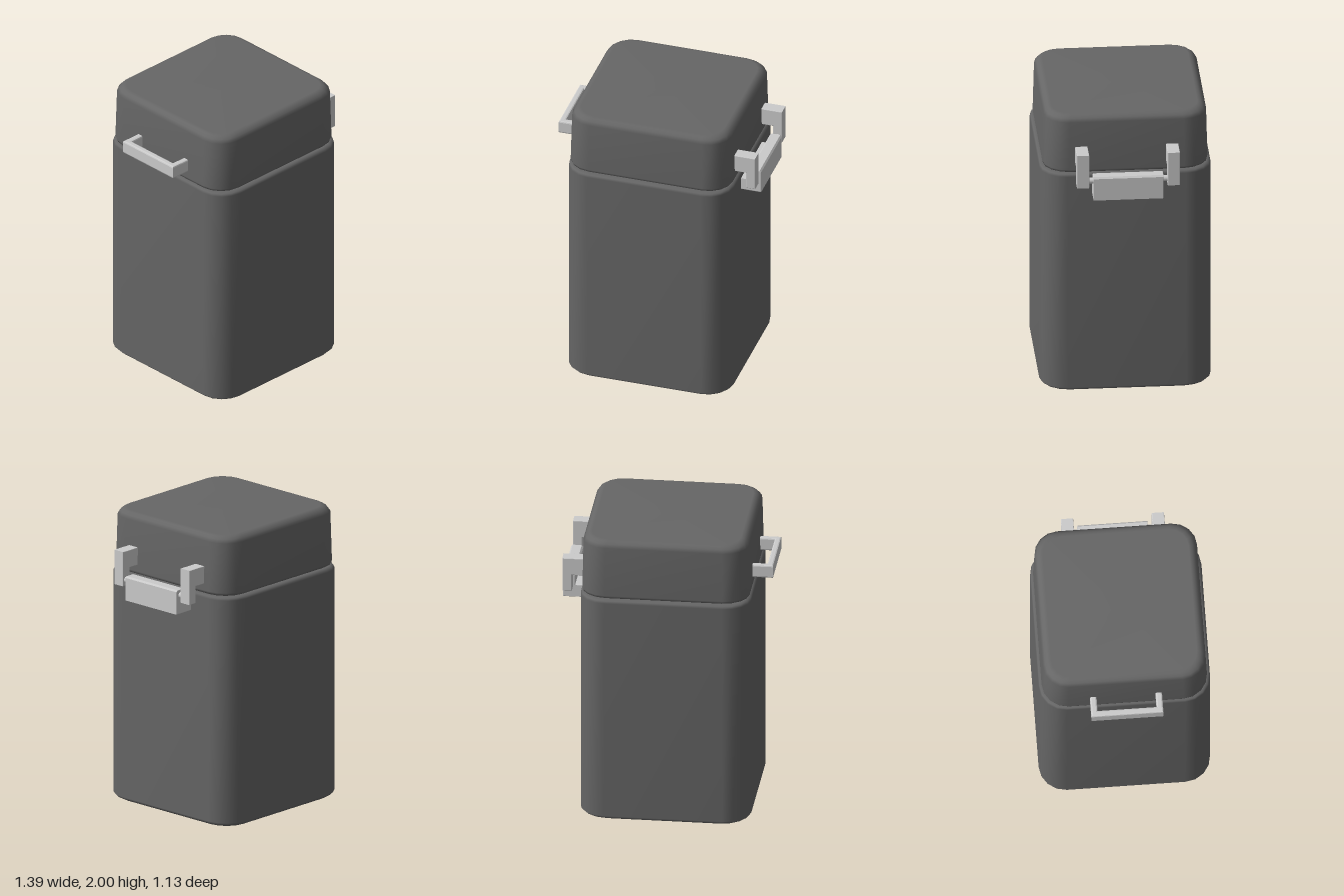
import * as THREE from 'three';

const dark = new THREE.MeshStandardMaterial({ color: 0x666666 });
const light = new THREE.MeshStandardMaterial({ color: 0xcccccc });

// Closed, smooth-shaded loft through rounded rectangles.
// Each ring is [y, halfX, halfZ, cornerRadius], listed from bottom to top.
function loftBox(rings, steps = 4) {
  const first = rings[0], last = rings[rings.length - 1];
  const all = [[first[0], 0, 0, 0], ...rings, [last[0], 0, 0, 0]];
  const pos = [], index = [];
  const n = 4 * (steps + 1);
  for (const [y, hx, hz, r] of all) {
    for (let q = 0; q < 4; q++) {
      const sx = q === 0 || q === 3 ? 1 : -1;
      const sz = q < 2 ? 1 : -1;
      for (let s = 0; s <= steps; s++) {
        const a = (q + s / steps) * Math.PI / 2;
        pos.push(sx * (hx - r) + r * Math.cos(a), y, sz * (hz - r) + r * Math.sin(a));
      }
    }
  }
  for (let i = 0; i < all.length - 1; i++) {
    for (let j = 0; j < n; j++) {
      const a = i * n + j, b = i * n + (j + 1) % n, c = a + n, d = b + n;
      if (i > 0) index.push(a, c, b);
      if (i < all.length - 2) index.push(b, c, d);
      else index.push();
      if (i === 0) continue;
    }
  }
  const g = new THREE.BufferGeometry();
  g.setAttribute('position', new THREE.Float32BufferAttribute(pos, 3));
  g.setIndex(index);
  g.computeVertexNormals();
  return g;
}

// Outline extruded along z, centred on z = 0, with a small bevel kept inside the outline.
function profile(points, depth, bevel) {
  const shape = new THREE.Shape(points.map(([x, y]) => new THREE.Vector2(x, y)));
  const g = new THREE.ExtrudeGeometry(shape, {
    depth: depth - 2 * bevel, bevelEnabled: true, bevelThickness: bevel,
    bevelSize: bevel, bevelOffset: -bevel, bevelSegments: 2,
  });
  return g.translate(0, 0, -depth / 2 + bevel);
}

function add(parent, name, geometry, material, x = 0, y = 0, z = 0) {
  const mesh = new THREE.Mesh(geometry, material);
  mesh.name = name;
  mesh.position.set(x, y, z);
  parent.add(mesh);
  return mesh;
}

export function createModel() {
  const model = new THREE.Group();
  model.name = 'hingedCanister';
  const cx = -0.008;

  // Tall body with softened bottom and rim
  const bodyRing = (y, inset) => [y, 0.566 - inset, 0.566 - inset, 0.175 - inset * 0.6];
  add(model, 'body', loftBox([
    bodyRing(0, 0.04), bodyRing(0.012, 0.018), bodyRing(0.032, 0),
    bodyRing(1.568, 0), bodyRing(1.583, 0.007), bodyRing(1.592, 0.025),
  ]), dark, cx);

  // Slightly tapered lid with a rounded top edge
  const lidRing = (y, inset) => [y, 0.557 - inset, 0.546 - inset, 0.165 - inset * 0.6];
  add(model, 'lid', loftBox([
    lidRing(1.592, 0.018), lidRing(1.6, 0.004), lidRing(1.615, 0),
    lidRing(1.955, 0.009), lidRing(1.978, 0.024), lidRing(1.993, 0.042), lidRing(2, 0.065),
  ]), dark, cx);

  // Carrying handle: a mitred U lying flat against the lid
  const handle = profile([
    [-0.54, -0.238], [-0.54, -0.195], [-0.658, -0.195], [-0.658, 0.195],
    [-0.54, 0.195], [-0.54, 0.238], [-0.7, 0.238], [-0.7, -0.238],
  ], 0.09, 0.01);
  add(model, 'handle', handle.rotateX(Math.PI / 2), light, 0, 1.706, 0);

  // Hinge: lower leaf on the body, two hooked arms on the lid, one pin
  const hinge = new THREE.Group();
  hinge.name = 'hinge';
  model.add(hinge);
  add(hinge, 'hingeLeaf', profile([
    [0.54, 1.455], [0.695, 1.455], [0.695, 1.61], [0.685, 1.621],
    [0.625, 1.621], [0.614, 1.61], [0.614, 1.543], [0.54, 1.543],
  ], 0.464, 0.004), light);
  for (const side of [-1, 1]) {
    add(hinge, side > 0 ? 'frontHingeArm' : 'backHingeArm', profile([
      [0.53, 1.66], [0.625, 1.66], [0.625, 1.543], [0.687, 1.543],
      [0.687, 1.78], [0.53, 1.78],
    ], 0.082, 0.004), light, 0, 0, side * 0.3);
  }
  const pin = new THREE.CylinderGeometry(0.021, 0.021, 0.56, 16).rotateX(Math.PI / 2);
  add(hinge, 'hingePin', pin, light, 0.657, 1.584, 0);

  return model;
}
